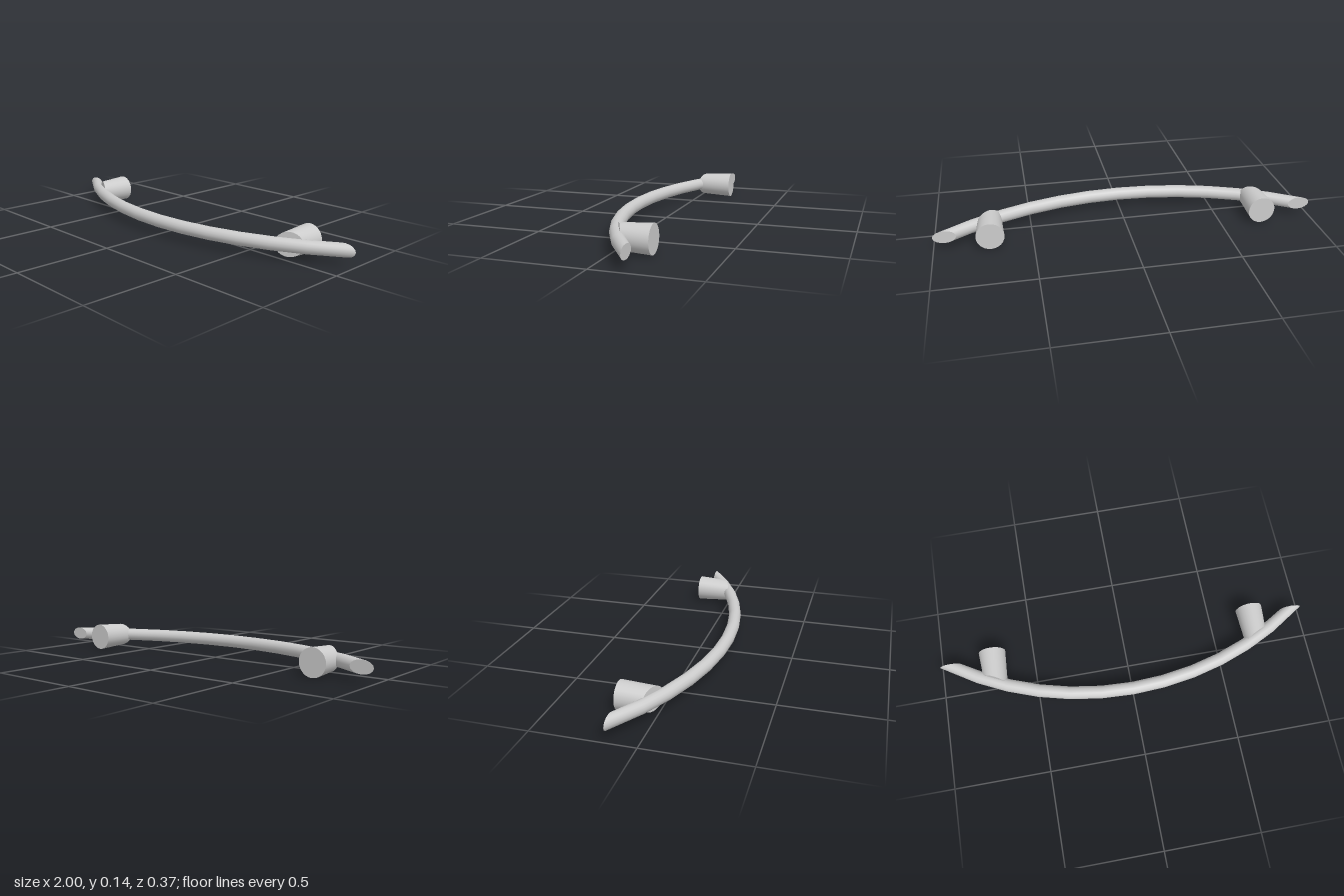
import * as THREE from 'three';
import { toCreasedNormals } from 'three/addons/utils/BufferGeometryUtils.js';

const AXIS_Y = 0.0715;      // height of the handle's centre line
const BAR_RADIUS = 0.034;
const ARC_RADIUS = 1.627;   // bend of the bar, seen from above
const ARC_FRONT = 0.152;    // z of the bar's centre line at the middle
const END_ANGLE = 0.616;
const END_Z = -0.147;       // plane the bar ends are cut on
const BACK_Z = -0.187;      // mounting plane of the posts

// Move every vertex of a geometry by a rule, then rebuild the normals
function reshape(geometry, rule) {
  const p = geometry.attributes.position;
  const v = new THREE.Vector3();
  for (let i = 0; i < p.count; i++) {
    rule(v.fromBufferAttribute(p, i));
    p.setXYZ(i, v.x, v.y, v.z);
  }
  return toCreasedNormals(geometry, 0.45);
}

// Round bar bent along an arc, its ends cut off parallel to the mounting plane
function barGeometry() {
  const g = new THREE.CylinderGeometry(BAR_RADIUS, BAR_RADIUS, 2, 16, 12);
  g.rotateZ(-Math.PI / 2);
  return reshape(g, (v) => {
    const s = v.x;
    const a = s * END_ANGLE;
    const r = ARC_RADIUS + v.z;
    v.x = r * Math.sin(a);
    v.z = ARC_FRONT - ARC_RADIUS + r * Math.cos(a);
    if (Math.abs(s) > 0.999) {
      // slide the end ring along the bar onto the cutting plane
      v.x += (v.z - END_Z) / Math.tan(a);
      v.z = END_Z;
    }
  });
}

// Tapered post whose front is cut along the slope of the bar
function postGeometry(side) {
  const g = new THREE.CylinderGeometry(0.0625, 0.0715, 1, 24);
  g.rotateX(Math.PI / 2);
  return reshape(g, (v) => {
    v.z = v.z > 0 ? -0.025 - 0.49 * side * v.x : BACK_Z;
  });
}

export function createModel() {
  const group = new THREE.Group();
  group.name = 'pullHandle';
  const material = new THREE.MeshStandardMaterial({ color: 0xcccccc });

  const bar = new THREE.Mesh(barGeometry(), material);
  bar.name = 'curvedBar';
  bar.position.y = AXIS_Y;
  group.add(bar);

  for (const side of [-1, 1]) {
    const post = new THREE.Mesh(postGeometry(side), material);
    post.name = side > 0 ? 'leftPost' : 'rightPost';
    post.position.set(side * 0.715, AXIS_Y, 0);
    group.add(post);
  }
  return group;
}
